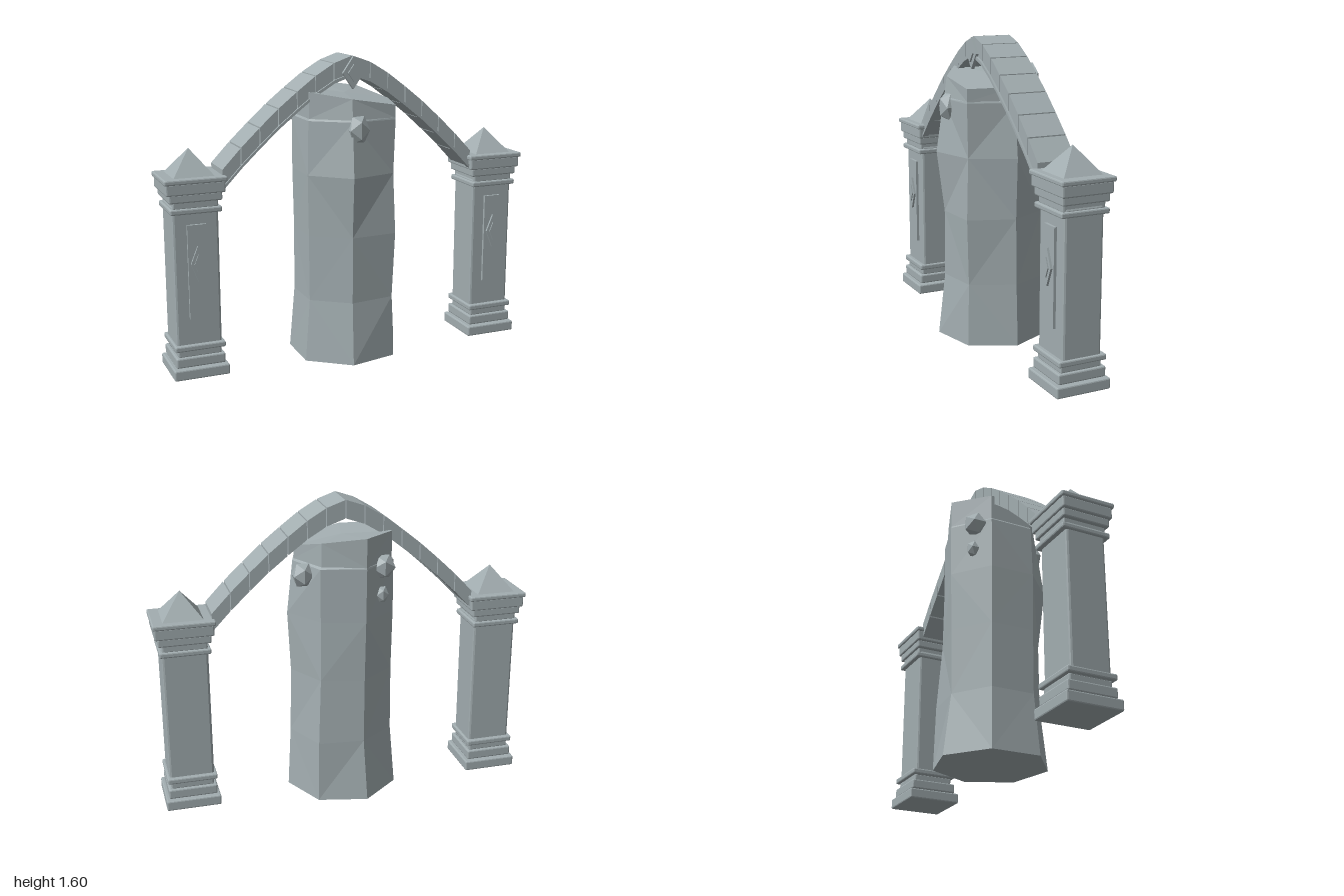
import * as THREE from 'three';
import { RoundedBoxGeometry } from 'three/addons/geometries/RoundedBoxGeometry.js';

const stone = new THREE.MeshStandardMaterial({ color: 0xa2adb0, flatShading: true });
stone.name = 'grey stone';

function add(parent, name, geometry, x = 0, y = 0, z = 0) {
  const mesh = new THREE.Mesh(geometry, stone);
  mesh.name = name;
  mesh.position.set(x, y, z);
  parent.add(mesh);
  return mesh;
}

// Flat outline in the xy plane, thickened along z
function plate(points, depth) {
  const shape = new THREE.Shape(points.map(([x, y]) => new THREE.Vector2(x, y)));
  return new THREE.ExtrudeGeometry(shape, { depth, bevelEnabled: false });
}

const diamond = (w, h, depth) => plate([[-w, 0], [0, -h], [w, 0], [0, h]], depth);

// Square pillar with stepped mouldings, pyramid top and front ornament
function pillar(x) {
  const group = new THREE.Group();
  group.name = 'pillar';
  group.position.set(x, 0, 0.005);
  const slabs = [ // name, width, depth, bottom, top
    ['plinth', 0.288, 0.29, 0, 0.055],
    ['baseStep', 0.255, 0.255, 0.06, 0.112],
    ['baseNeck', 0.225, 0.22, 0.108, 0.148],
    ['baseRing', 0.262, 0.255, 0.145, 0.175],
    ['shaft', 0.236, 0.208, 0.14, 0.9],
    ['neckRing', 0.262, 0.255, 0.857, 0.885],
    ['capNeck', 0.23, 0.225, 0.88, 0.925],
    ['capStep', 0.27, 0.25, 0.915, 0.96],
    ['capBlock', 0.3, 0.268, 0.955, 1.015],
    ['capSlab', 0.318, 0.285, 1.01, 1.036],
  ];
  for (const [name, w, d, y0, y1] of slabs) {
    const bevel = name === 'shaft' ? 0.012 : 0.007;
    add(group, name, new RoundedBoxGeometry(w, y1 - y0, d, 1, bevel), 0, (y0 + y1) / 2, 0);
  }
  const pyramid = new THREE.ConeGeometry(0.105 * Math.SQRT2, 0.132, 4, 1).rotateY(Math.PI / 4);
  add(group, 'pyramidTop', pyramid, 0, 1.1, 0);
  add(group, 'panel', new THREE.BoxGeometry(0.096, 0.49, 0.02), 0, 0.555, 0.108);
  add(group, 'panelDiamond', diamond(0.037, 0.092, 0.012), 0, 0.6, 0.117);
  add(group, 'panelDiamondInset', diamond(0.02, 0.05, 0.006), 0, 0.6, 0.129);
  return group;
}

// Pointed arch of separate blocks with a thin trim along its lower front edge
function arch() {
  const group = new THREE.Group();
  group.name = 'arch';
  const tops = [1.6, 1.565, 1.505, 1.43, 1.35, 1.26, 1.165, 1.06];
  for (const side of [-1, 1]) {
    for (let i = 0; i < 7; i++) {
      const segment = (gap, upper, lower) => {
        const at = (t, drop) => [side * (i + t) * 0.1,
          tops[i] + (tops[i + 1] - tops[i]) * t - drop];
        return [at(gap, upper), at(1 - gap, upper), at(1 - gap, lower), at(gap, lower)];
      };
      add(group, 'archBlock', plate(segment(0.025, 0, 0.095), 0.205), 0, 0, -0.097);
      add(group, 'archTrim', plate(segment(0, 0.085, 0.102), 0.035), 0, 0, 0.083);
    }
  }
  add(group, 'keyDiamond', diamond(0.058, 0.083, 0.018), 0, 1.513, 0.106);
  add(group, 'keyDiamondInset', diamond(0.032, 0.045, 0.009), 0, 1.513, 0.124);
  return group;
}

// Rough seven-sided monolith: corner radii at each height
function monolith() {
  const sides = 7;
  const rings = [
    [0, [0.3, 0.3, 0.3, 0.305, 0.3, 0.302, 0.3]],
    [0.33, [0.283, 0.288, 0.263, 0.272, 0.272, 0.257, 0.29]],
    [0.68, [0.275, 0.305, 0.262, 0.275, 0.27, 0.262, 0.262]],
    [1.0, [0.29, 0.29, 0.302, 0.28, 0.276, 0.272, 0.258]],
    [1.28, [0.258, 0.3, 0.263, 0.272, 0.275, 0.277, 0.26]],
    [1.29, [0.25, 0.298, 0.258, 0.266, 0.266, 0.274, 0.247]],
    [0, [0.25, 0.3, 0.245, 0.265, 0.265, 0.277, 0.242]],
  ];
  const topHeights = [1.36, 1.355, 1.395, 1.425, 1.43, 1.44, 1.41];
  const positions = [];
  const index = [];
  rings.forEach(([y, radii], r) => radii.forEach((radius, k) => {
    const a = (k / sides) * Math.PI * 2;
    const height = r === rings.length - 1 ? topHeights[k] : y;
    positions.push(Math.cos(a) * radius, height, Math.sin(a) * radius);
  }));
  for (let r = 0; r < rings.length - 1; r++) {
    for (let k = 0; k < sides; k++) {
      const a = r * sides + k;
      const b = r * sides + ((k + 1) % sides);
      const c = a + sides;
      const d = b + sides;
      if ((r + k) % 2) index.push(a, c, b, b, c, d);
      else index.push(a, c, d, a, d, b);
    }
  }
  // Closed bottom and slanted top
  const bottom = positions.length / 3;
  positions.push(0, 0, 0, 0, 1.402, 0);
  const last = (rings.length - 1) * sides;
  for (let k = 0; k < sides; k++) {
    const n = (k + 1) % sides;
    index.push(bottom, k, n, bottom + 1, last + n, last + k);
  }
  const geometry = new THREE.BufferGeometry();
  geometry.setAttribute('position', new THREE.Float32BufferAttribute(positions, 3));
  geometry.setIndex(index);
  const flat = geometry.toNonIndexed();
  flat.computeVertexNormals();

  const group = new THREE.Group();
  group.name = 'monolith';
  add(group, 'monolithBody', flat);

  // Faceted lumps on its faces: position, then half sizes
  const lumps = [
    [-0.025, 1.24, 0.245, 0.062, 0.082, 0.052],
    [0.232, 1.235, -0.12, 0.06, 0.07, 0.055],
    [-0.17, 1.265, -0.178, 0.07, 0.07, 0.065],
    [-0.165, 1.12, -0.188, 0.038, 0.048, 0.035],
  ];
  for (const [x, y, z, sx, sy, sz] of lumps) {
    const lump = add(group, 'rockLump', new THREE.IcosahedronGeometry(1, 0), x, y, z);
    lump.scale.set(sx, sy, sz);
  }
  return group;
}

export function createModel() {
  const model = new THREE.Group();
  model.name = 'stoneGateway';
  model.add(pillar(-0.841), pillar(0.841), arch(), monolith());
  return model;
}
